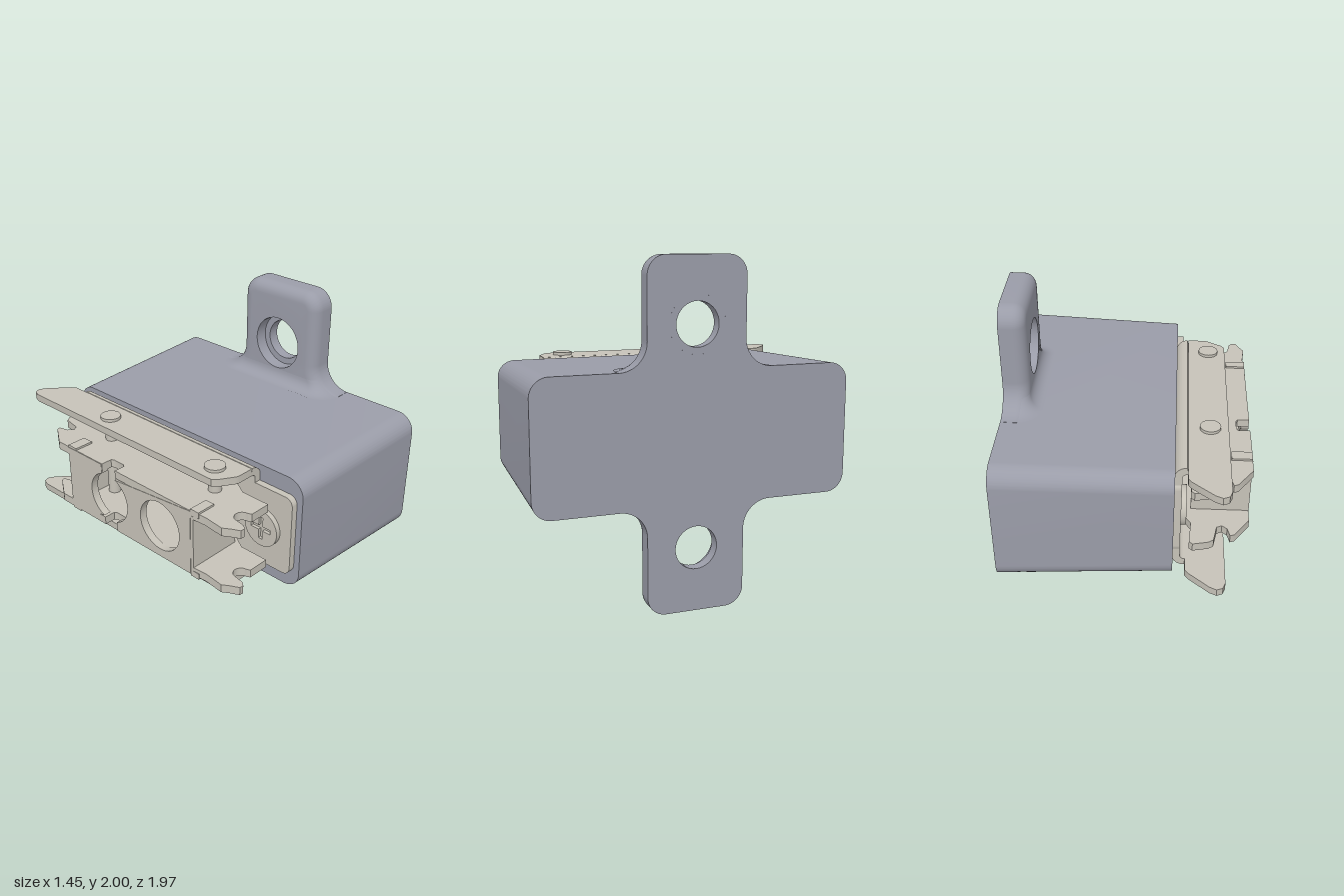
import * as THREE from 'three';
import { toCreasedNormals } from 'three/addons/utils/BufferGeometryUtils.js';

const housingMat = new THREE.MeshStandardMaterial({ color: 0x9a9ca8 });
const metalMat = new THREE.MeshStandardMaterial({ color: 0xc6c2b8 });
const HALF = Math.PI / 2;

function add(parent, name, geo, mat) {
  const mesh = new THREE.Mesh(toCreasedNormals(geo, 0.6), mat);
  mesh.name = name;
  parent.add(mesh);
  return mesh;
}
const poly = pts => new THREE.Shape(pts.map(p => new THREE.Vector2(...p)));
const extrude = (shape, depth) =>
  new THREE.ExtrudeGeometry(shape, { depth, bevelEnabled: false, curveSegments: 20 });
// Extrude along x: shape axes are (-z, y)
const alongX = (shape, x0, x1) => extrude(shape, x1 - x0).translate(0, 0, x0).rotateY(HALF);
// Extrude along y: shape axes are (x, -z)
const alongY = (shape, y0, y1) => extrude(shape, y1 - y0).translate(0, 0, y0).rotateX(-HALF);
const box = (x0, x1, y0, y1, z0, z1) =>
  new THREE.BoxGeometry(x1 - x0, y1 - y0, z1 - z0).translate((x0 + x1) / 2, (y0 + y1) / 2, (z0 + z1) / 2);

function circle(u, v, r) {
  return new THREE.Path().absarc(u, v, r, 0, Math.PI * 2);
}
function roundRect(w, h, r) {
  return new THREE.Shape()
    .absarc(w - r, h - r, r, 0, HALF).absarc(r - w, h - r, r, HALF, Math.PI)
    .absarc(r - w, r - h, r, Math.PI, 3 * HALF).absarc(w - r, r - h, r, 3 * HALF, 4 * HALF);
}

// Housing block, narrowing toward the bracket
function housingGeometry() {
  const geo = alongX(roundRect(0.935, 0.383, 0.11), -0.28, 0.72);
  const p = geo.attributes.position;
  for (let i = 0; i < p.count; i++) {
    const t = 0.72 - p.getX(i);
    p.setY(i, p.getY(i) * (1 - 0.085 * t));
    p.setZ(i, p.getZ(i) * (1 - 0.035 * t));
  }
  return geo;
}

// Mounting ear with rounded inner edge, flared root and counterbored hole
function earGeometry() {
  const b = 0.07, depth = 0.15 - b, holeY = 0.628, bore = 0.165;
  const s = new THREE.Shape();
  s.moveTo(-0.45, 0.2);
  s.lineTo(-0.45, 0.383);
  s.absarc(-0.45, 0.543, 0.16, -HALF, 0, false);
  s.absarc(-0.18, 0.89, 0.11, Math.PI, HALF, true);
  s.absarc(0.18, 0.89, 0.11, HALF, 0, true);
  s.absarc(0.45, 0.543, 0.16, Math.PI, 3 * HALF, false);
  s.lineTo(0.45, 0.2);
  s.holes.push(circle(0, holeY, bore - b));
  const geo = new THREE.ExtrudeGeometry(s, {
    depth, bevelThickness: b, bevelSize: b, bevelOffset: -b, bevelSegments: 6, curveSegments: 16
  });
  const p = geo.attributes.position;
  for (let i = 0; i < p.count; i++) {
    if (p.getZ(i) > depth) p.setZ(i, depth);         // outer face stays flat
    const dx = p.getX(i), dy = p.getY(i) - holeY, d = Math.hypot(dx, dy);
    if (d < 0.2) {                                   // straight bore wall
      p.setX(i, dx * bore / d);
      p.setY(i, holeY + dy * bore / d);
    }
  }
  return geo.translate(0, 0, 0.57 + b).rotateY(HALF);
}

// Concave fillet between the ear's inner face and the housing
function filletGeometry() {
  const rows = 9, pos = [], idx = [];
  let n = 0;
  for (let i = 0; i < rows; i++) {
    const y = 0.38 + 0.075 * (1 - Math.cos(i / (rows - 1) * HALF));
    const flare = r => r - Math.sqrt(Math.max(0, r * r - Math.max(0, r - (y - 0.38)) ** 2));
    const fx = flare(0.075), w = 0.29 + flare(0.16), r = 0.07 + fx, x0 = 0.57 - fx;
    const ring = [[0.7, -w]];
    for (const side of [-1, 1]) for (let k = 0; k <= 8; k++) {
      const a = (side < 0 ? k : 8 - k) / 8 * HALF;
      ring.push([x0 + r - r * Math.sin(a), side * (w - r + r * Math.cos(a))]);
    }
    ring.push([0.7, w]);
    n = ring.length;
    ring.forEach(([x, z]) => pos.push(x, y, z));
  }
  for (let i = 0; i < rows - 1; i++) for (let j = 0; j < n - 1; j++) {
    const a = i * n + j, c = a + n;
    idx.push(a, a + 1, c, a + 1, c + 1, c);
  }
  const geo = new THREE.BufferGeometry();
  geo.setAttribute('position', new THREE.Float32BufferAttribute(pos, 3));
  geo.setIndex(idx);
  return geo;
}

function buildHousing() {
  const g = new THREE.Group();
  g.name = 'housing';
  g.position.set(0, 1.0, 0.045);
  add(g, 'housingBlock', housingGeometry(), housingMat);
  const filletMat = housingMat.clone();
  filletMat.side = THREE.DoubleSide;
  for (const name of ['upperEar', 'lowerEar']) {
    const ear = new THREE.Group();
    ear.name = name;
    if (name === 'lowerEar') ear.rotation.x = Math.PI;
    add(ear, 'earPlate', earGeometry(), housingMat);
    add(ear, 'earFillet', filletGeometry(), filletMat);
    const ring = new THREE.Shape().absarc(0, 0.628, 0.165, 0, Math.PI * 2);
    ring.holes.push(circle(0, 0.628, 0.125));
    add(ear, 'counterboreStep', alongX(ring, 0.65, 0.72), housingMat);
    g.add(ear);
  }
  return g;
}

// Outer channel fixed to the housing
function buildOuterBracket() {
  const g = new THREE.Group();
  g.name = 'outerBracket';
  add(g, 'backPlate', alongX(roundRect(0.83, 0.25, 0.05), -0.32, -0.275).translate(0, 1, 0.08), metalMat);
  const u = new THREE.Shape();
  u.moveTo(-0.355, 0.35);
  u.absarc(-0.345, 0.28, 0.07, HALF, 0, true);
  u.absarc(-0.345, -0.28, 0.07, 0, -HALF, true);
  u.lineTo(-0.355, -0.35);
  u.lineTo(-0.355, -0.305);
  u.absarc(-0.345, -0.28, 0.025, -HALF, 0, false);
  u.absarc(-0.345, 0.28, 0.025, 0, HALF, false);
  u.lineTo(-0.355, 0.305);
  add(g, 'channelBend', extrude(u, 1.385).translate(0, 1, -0.74), metalMat);
  const plate = poly([[-0.35, 0.74], [-0.35, 0.83], [-0.37, 0.86], [-0.49, 0.965], [-0.53, 0.985], [-0.565, 0.97],
    [-0.58, 0.93], [-0.58, -0.56], [-0.56, -0.585], [-0.47, -0.64], [-0.45, -0.645], [-0.35, -0.645]]);
  for (const y of [0.65, 1.305]) add(g, 'sidePlate', alongY(plate, y, y + 0.045), metalMat);
  // Cross-recessed screws
  for (const z of [-0.62, 0.72]) {
    const head = new THREE.Shape().absarc(0, 0, 0.115, 0, Math.PI * 2);
    const a = 0.014, b = 0.07;
    head.holes.push(poly([[a, a], [b, a], [b, -a], [a, -a], [a, -b], [-a, -b], [-a, -a], [-b, -a],
      [-b, a], [-a, a], [-a, b], [a, b]]));
    add(g, 'screwHead', alongX(head, -0.35, -0.33).translate(0, 1, z), metalMat);
    add(g, 'screwBase', alongX(new THREE.Shape().absarc(0, 0, 0.115, 0, Math.PI * 2), -0.33, -0.31)
      .translate(0, 1, z), metalMat);
  }
  // Rivet pins joining both channels
  for (const z of [-0.36, 0.49]) {
    add(g, 'pin', new THREE.CylinderGeometry(0.038, 0.038, 0.68, 24).translate(-0.475, 1, z), metalMat);
    for (const y of [0.645, 1.355])
      add(g, 'pinHead', new THREE.CylinderGeometry(0.06, 0.06, 0.025, 28).translate(-0.475, y, z), metalMat);
  }
  return g;
}

// Inner channel with forked ends
function buildInnerBracket() {
  const g = new THREE.Group();
  g.name = 'innerBracket';
  const s = poly([[-0.72, 0.17], [-0.72, 0.56], [-0.63, 0.69], [-0.605, 0.7], [-0.59, 0.64], [-0.56, 0.615],
    [-0.53, 0.63], [-0.51, 0.74], [-0.48, 0.76], [-0.39, 0.78], [-0.37, 0.76], [-0.38, 0.6], [-0.32, 0.5],
    [-0.32, -0.5], [-0.39, -0.62], [-0.39, -0.8], [-0.52, -0.8]]);
  s.absarc(-0.575, -0.78, 0.045, 0, Math.PI, false);
  [[-0.63, -0.84], [-0.65, -0.862], [-0.675, -0.86], [-0.7, -0.81], [-0.725, -0.77], [-0.712, -0.65],
    [-0.715, -0.6], [-0.72, -0.54], [-0.72, 0.06], [-0.65, 0.06], [-0.64, 0.075], [-0.64, 0.155],
    [-0.65, 0.17]].forEach(p => s.lineTo(...p));
  for (const y of [0.795, 1.16]) add(g, 'forkedPlate', alongY(s, y, y + 0.05), metalMat);

  // Face plate in two pieces, split by a slot through the first round opening
  const r = 0.155, a = Math.acos(0.055 / r), h = 0.205;
  const rear = new THREE.Shape();
  rear.moveTo(0.175, -h);
  rear.absarc(0.12, 0, r, -a, a, false);
  rear.lineTo(0.175, h);
  rear.lineTo(0.47, h);
  rear.lineTo(0.47, -h);
  const fore = new THREE.Shape();
  fore.moveTo(0.065, h);
  fore.absarc(0.12, 0, r, Math.PI - a, Math.PI + a, false);
  fore.lineTo(0.065, -h);
  fore.lineTo(-0.54, -h);
  fore.lineTo(-0.54, h);
  fore.holes.push(circle(-0.3, 0, r));
  for (const f of [rear, fore]) add(g, 'facePlate', alongX(f, -0.722, -0.675).translate(0, 1.002, 0), metalMat);

  // Folded end walls and their locking tabs
  for (const [z0, z1, w] of [[-0.47, -0.4, -0.47], [0.54, 0.6, 0.52]]) {
    add(g, 'endWall', box(-0.72, -0.38, 0.82, 1.18, w, w + 0.04), metalMat);
    for (const y of [0.785, 1.185]) add(g, 'lockTab', box(-0.72, -0.6, y, y + 0.037, z0, z1), metalMat);
  }
  return g;
}

export function createModel() {
  const model = new THREE.Group();
  model.name = 'latchBlock';
  model.add(buildHousing(), buildOuterBracket(), buildInnerBracket());
  return model;
}
